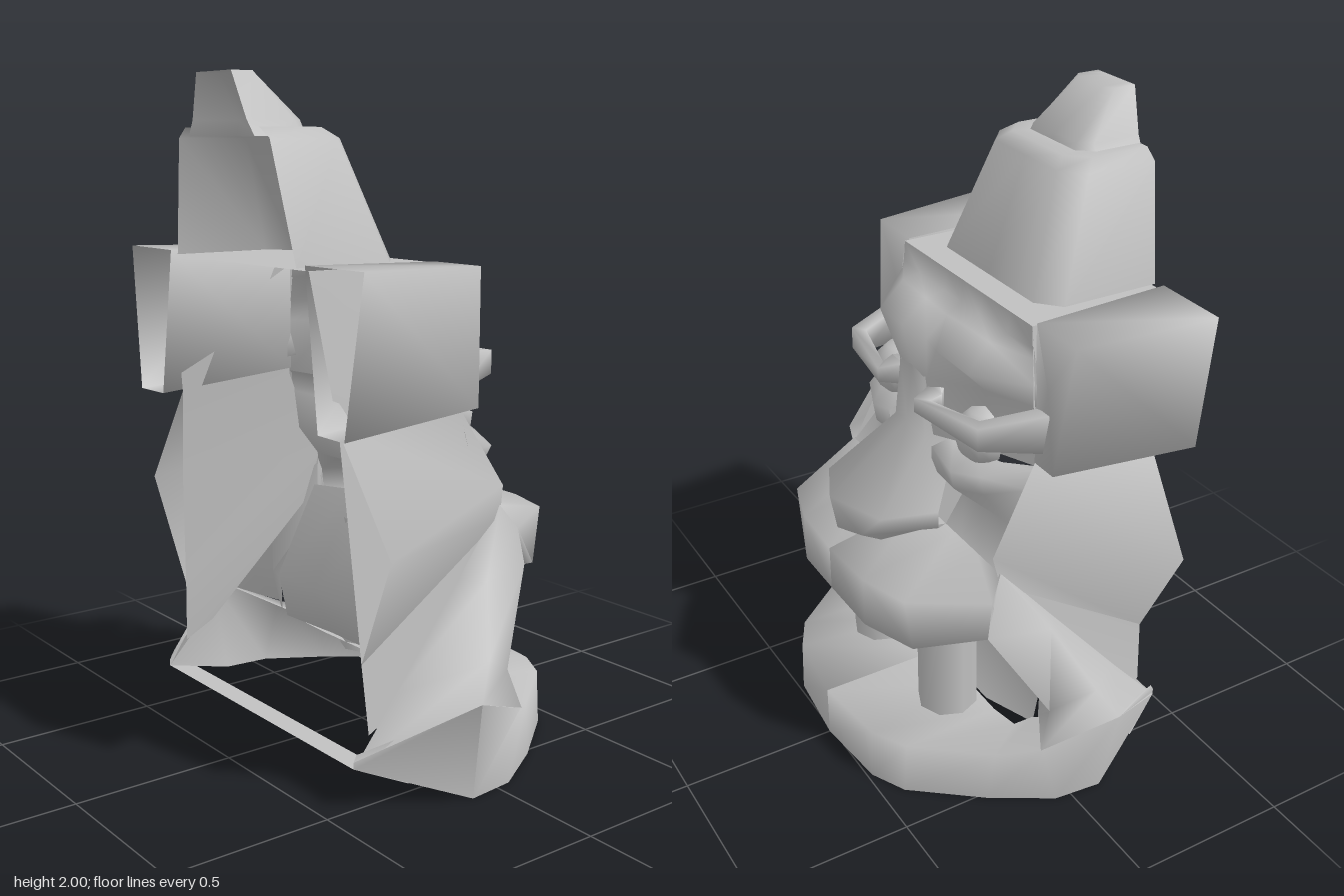
import * as THREE from 'three';
import { toCreasedNormals } from 'three/addons/utils/BufferGeometryUtils.js';

const stone = new THREE.MeshStandardMaterial({ color: 0xc0c0c0, side: THREE.DoubleSide });
stone.name = 'stone grey';

// Skin a grid of points: rows of equal length, joined row to row.
function skin(rows, closed = false) {
  const n = rows[0].length, index = [];
  const cols = closed ? n : n - 1;
  for (let r = 0; r < rows.length - 1; r++) {
    for (let c = 0; c < cols; c++) {
      const a = r * n + c, b = r * n + (c + 1) % n;
      index.push(a, a + n, b, b, a + n, b + n);
    }
  }
  const geo = new THREE.BufferGeometry();
  geo.setAttribute('position', new THREE.Float32BufferAttribute(rows.flat(2), 3));
  geo.setIndex(index);
  return toCreasedNormals(geo, 1.75);
}

const flip = ([x, y, z]) => [-x, y, z];
// Complete a half row that starts on the centre line.
const whole = (row) => [...row.slice(1).reverse().map(flip), ...row];

export function createModel() {
  const model = new THREE.Group();
  model.name = 'carvedHeadMask';

  const add = (name, geo) => {
    const mesh = new THREE.Mesh(geo, stone);
    mesh.name = name;
    model.add(mesh);
    return mesh;
  };
  const centre = (name, rows) => add(name, skin(rows.map(whole)));
  const pair = (name, rows, closed) => {
    add(name + 'Left', skin(rows, closed));
    add(name + 'Right', skin(rows.map((r) => r.map(flip).reverse()), closed));
  };
  // Half ring at one height from [x, z] pairs
  const level = (y, pts) => pts.map(([x, z]) => [x, y, z]);

  // Tall hat, open at the back, with a small cap on top
  centre('hat', [
    level(1.48, [[0, 0.08], [0.24, 0.08], [0.31, 0.14], [0.31, 0.455]]),
    level(1.82, [[0, 0.2], [0.16, 0.2], [0.23, 0.26], [0.235, 0.485]]),
    level(1.85, [[0, 0.24], [0.13, 0.24], [0.19, 0.3], [0.19, 0.49]]),
    level(1.85, [[0, 0.3], [0.11, 0.3], [0.15, 0.34], [0.15, 0.49]]),
  ]);
  centre('hatCap', [
    level(1.825, [[0, 0.285], [0.12, 0.285], [0.17, 0.33], [0.17, 0.49]]),
    level(1.87, [[0, 0.3], [0.11, 0.3], [0.14, 0.34], [0.14, 0.495]]),
    level(2.0, [[0, 0.42], [0.06, 0.42], [0.09, 0.44], [0.09, 0.51]]),
    level(2.0, [[0, 0.51], [0.03, 0.51], [0.06, 0.51], [0.09, 0.51]]),
  ]);
  centre('headTop', [
    level(1.475, [[0, 0], [0.36, 0]]),
    level(1.475, [[0, 0.45], [0.36, 0.45]]),
  ]);

  // Forehead, brows and eye sockets
  centre('face', [
    [[0, 1.475, 0], [0.1, 1.475, 0], [0.25, 1.475, 0], [0.36, 1.475, 0]],
    [[0, 1.41, -0.01], [0.1, 1.41, -0.01], [0.25, 1.41, -0.01], [0.37, 1.41, 0]],
    [[0, 1.38, -0.06], [0.1, 1.4, -0.075], [0.25, 1.4, -0.07], [0.38, 1.38, 0]],
    [[0, 1.32, -0.13], [0.1, 1.33, -0.155], [0.26, 1.32, -0.145], [0.39, 1.3, 0]],
    [[0, 1.24, -0.18], [0.08, 1.24, -0.175], [0.25, 1.25, -0.08], [0.4, 1.24, 0]],
    [[0, 1.08, -0.19], [0.1, 1.06, -0.17], [0.25, 1.06, -0.08], [0.42, 1.07, -0.02]],
  ]);

  // Side walls of the hollow head
  pair('headSide', [
    [[0.36, 1.475, 0], [0.36, 1.475, 0.45]],
    [[0.42, 1.06, -0.02], [0.41, 1.04, 0.39]],
    [[0.45, 0.77, -0.155], [0.44, 0.77, 0.38]],
    [[0.46, 0.6, -0.1], [0.47, 0.4, 0.36]],
    [[0.49, 0.25, 0.25], [0.49, 0.2, 0.35]],
  ]);

  // Box ears, flaring toward the back and open behind
  pair('ear', [
    [[0.43, 1.3, 0.01], [0.43, 1.3, 0.01], [0.43, 1.3, 0.01], [0.43, 1.3, 0.01]],
    [[0.36, 1.48, 0.015], [0.55, 1.48, 0.015], [0.51, 1.08, -0.02], [0.41, 1.08, -0.02]],
    [[0.35, 1.49, 0.455], [0.6, 1.49, 0.45], [0.535, 1.045, 0.465], [0.41, 1.045, 0.46]],
  ], true);

  // Half-round eyes facing forward
  for (const s of [-1, 1]) {
    const eye = add(s > 0 ? 'eyeLeft' : 'eyeRight',
      new THREE.SphereGeometry(0.09, 8, 6, Math.PI, Math.PI));
    eye.position.set(s * 0.25, 1.11, -0.08);
  }
  // Heavy lower lids, running down to the lip
  pair('lowerLid', [
    [[0.14, 1.06, -0.12], [0.24, 1.05, -0.1], [0.34, 1.06, -0.08], [0.42, 1.07, -0.02]],
    [[0.13, 1.04, -0.19], [0.24, 1.01, -0.19], [0.34, 1.03, -0.15], [0.42, 1.06, -0.03]],
    [[0.13, 0.97, -0.19], [0.24, 0.95, -0.18], [0.34, 0.97, -0.14], [0.43, 1.0, -0.04]],
    [[0.15, 0.87, -0.09], [0.24, 0.87, -0.08], [0.34, 0.87, -0.08], [0.44, 0.87, -0.07]],
    [[0.15, 0.77, -0.155], [0.24, 0.77, -0.155], [0.34, 0.77, -0.155], [0.45, 0.77, -0.155]],
  ]);

  // Curved bars wrapped around the eyes: [outer x, z, inner x, z, half height]
  const bar = [
    [0.455, 0, 0.4, 0, 0.06],
    [0.38, -0.185, 0.34, -0.155, 0.035],
    [0.11, -0.235, 0.145, -0.2, 0.022],
    [0.08, -0.165, 0.15, -0.165, 0.035],
    [0.02, -0.12, 0.08, -0.1, 0.06],
  ];
  pair('eyeBar', bar.map(([x, z, u, w, h]) => [
    [x, 1.18 + h, z], [x, 1.18 - h, z], [u, 1.18 - h, w], [u, 1.18 + h, w],
  ]), true);

  // Broad nose, hollow behind
  centre('nose', [
    [[0, 1.25, -0.18], [0.07, 1.24, -0.18], [0.09, 1.24, -0.14]],
    [[0, 1.07, -0.2], [0.09, 1.05, -0.19], [0.14, 1.02, -0.12]],
    [[0, 0.885, -0.465], [0.17, 0.87, -0.385], [0.22, 0.87, -0.22]],
    [[0, 0.77, -0.445], [0.09, 0.78, -0.41], [0.2, 0.8, -0.21]],
    [[0, 0.73, -0.375], [0.08, 0.735, -0.34], [0.15, 0.77, -0.155]],
  ]);

  // Flared cheeks, running back from a narrow front edge
  pair('cheek', [
    [[0.42, 1.08, -0.02], [0.41, 1.045, 0.39]],
    [[0.45, 0.825, -0.175], [0.625, 0.73, 0.38]],
    [[0.46, 0.73, -0.155], [0.47, 0.4, 0.36]],
  ]);

  // Upper lip
  pair('upperLip', [
    [[0, 0.77, -0.155], [0, 0.705, -0.475], [0, 0.56, -0.475], [0, 0.59, -0.2]],
    [[0.2, 0.77, -0.155], [0.2, 0.705, -0.465], [0.2, 0.545, -0.465], [0.2, 0.53, -0.22]],
    [[0.33, 0.77, -0.155], [0.36, 0.705, -0.415], [0.36, 0.53, -0.39], [0.32, 0.52, -0.25]],
    [[0.46, 0.77, -0.155], [0.49, 0.7, -0.2], [0.5, 0.59, -0.22], [0.45, 0.59, -0.15]],
  ]);

  // Lower jaw: outside wall and mouth floor, open underneath
  pair('lowerJaw', [
    [[0, 0, -0.51], [0, 0.17, -0.51], [0, 0.17, -0.1]],
    [[0.25, 0, -0.485], [0.25, 0.17, -0.48], [0.2, 0.17, -0.1]],
    [[0.36, 0, -0.43], [0.36, 0.17, -0.42], [0.35, 0.17, -0.1]],
    [[0.52, 0, -0.23], [0.53, 0.17, -0.21], [0.45, 0.18, -0.09]],
    [[0.63, 0, -0.05], [0.62, 0.21, -0.1], [0.49, 0.22, -0.05]],
    [[0.645, 0, 0.1], [0.7, 0.3, 0.12], [0.68, 0.29, 0.08]],
    [[0.5, 0.12, 0.41], [0.5, 0.14, 0.41], [0.5, 0.16, 0.4]],
  ]);

  // Arms rising from the jaw corners to the lip
  pair('jawArm', [
    [[0.49, 0.22, -0.03], [0.62, 0.21, -0.105], [0.7, 0.3, 0.12], [0.5, 0.12, 0.41]],
    [[0.48, 0.34, -0.02], [0.6, 0.33, -0.065], [0.66, 0.4, 0.06], [0.49, 0.3, 0.25]],
    [[0.45, 0.59, -0.15], [0.5, 0.59, -0.22], [0.545, 0.58, -0.03], [0.47, 0.58, 0.01]],
    [[0.45, 0.75, -0.155], [0.49, 0.7, -0.2], [0.46, 0.77, -0.155], [0.45, 0.77, -0.15]],
  ]);

  // Back wall of the mouth, swelling backward in the middle
  centre('mouthBack', [
    [[0, 0.68, -0.155], [0.25, 0.68, -0.15], [0.45, 0.66, -0.14]],
    [[0, 0.37, 0.03], [0.25, 0.36, 0.01], [0.48, 0.36, -0.01]],
    [[0, 0.18, -0.1], [0.3, 0.18, -0.1], [0.49, 0.2, -0.05]],
  ]);
  // Sloping strip under the open back
  centre('undersideStrip', [
    [[0, 0.12, 0.41], [0.5, 0.12, 0.41]],
    [[0, 0.065, 0.27], [0.57, 0.065, 0.27]],
  ]);

  // Pillar teeth
  for (const s of [-1, 1]) {
    const tooth = add(s > 0 ? 'toothLeft' : 'toothRight',
      new THREE.CylinderGeometry(0.095, 0.095, 0.45, 8, 1, true));
    tooth.position.set(s * 0.22, 0.37, -0.195);
  }

  return model;
}
